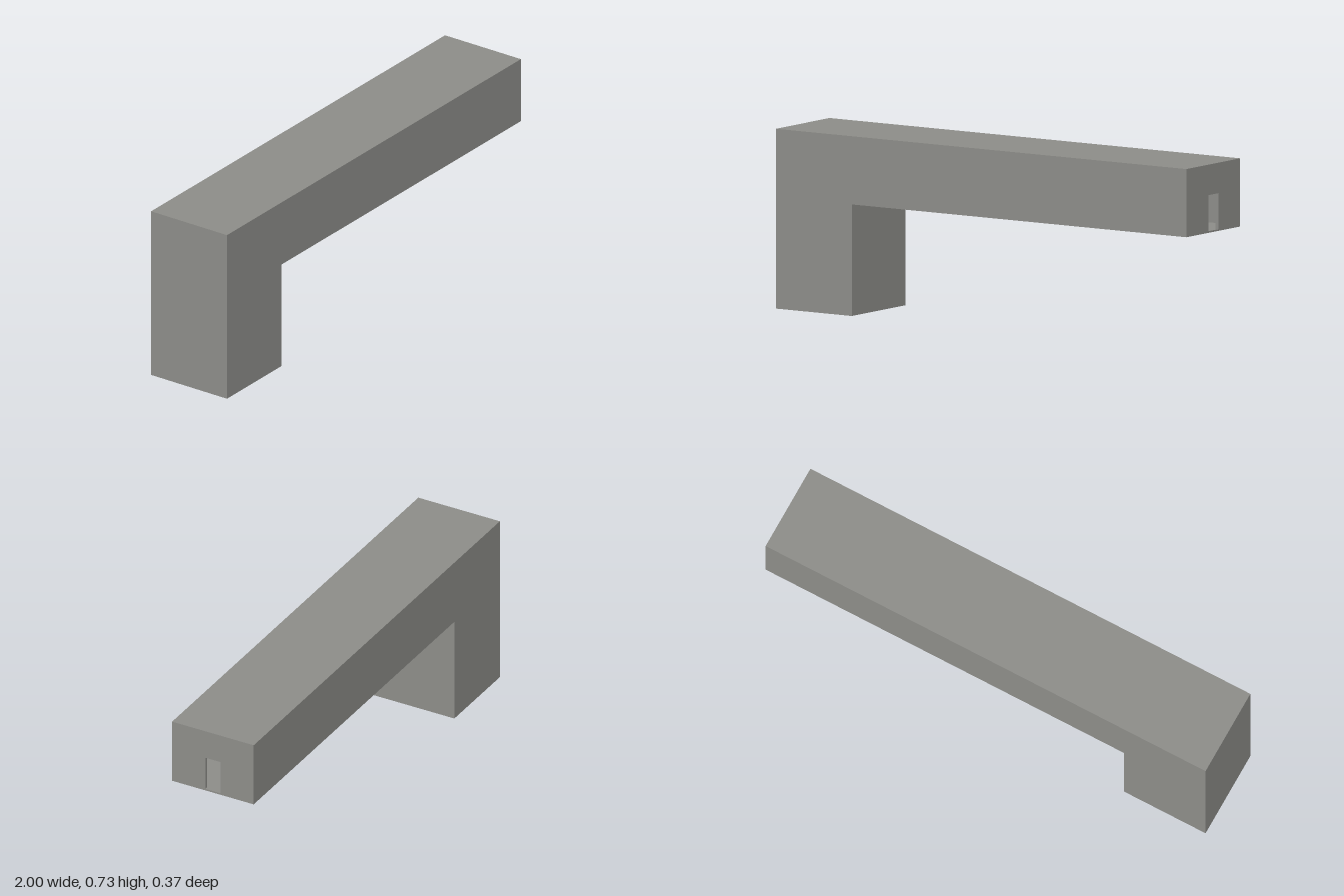
import * as THREE from 'three';

export function createModel() {
  const group = new THREE.Group();
  group.name = 'corridor';
  const concrete = new THREE.MeshStandardMaterial({ color: 0x8c8c88 });
  concrete.name = 'concrete grey';

  const top = 0.725, under = 0.45, halfDepth = 0.187, legX = -0.63;
  const wall = 0.0145, floorTop = 0.457;
  const innerHalf = halfDepth - wall;

  const outline = (pts) => new THREE.Shape(pts.map(([x, y]) => new THREE.Vector2(x, y)));
  const extrude = (shape, depth) => new THREE.ExtrudeGeometry(shape, { depth, bevelEnabled: false });
  const add = (name, geometry) => {
    const mesh = new THREE.Mesh(geometry, concrete);
    mesh.name = name;
    group.add(mesh);
    return mesh;
  };

  // L-shaped side walls
  const side = outline([[-1, 0], [legX, 0], [legX, under], [1, under], [1, top], [-1, top]]);
  add('frontWall', extrude(side, wall)).position.z = innerHalf;
  add('backWall', extrude(side, wall)).position.z = -halfDepth;

  // Ceiling running down into the outer wall of the open-bottomed shaft
  const ceiling = outline([[-1, 0], [-1 + wall, 0], [-1 + wall, top - wall],
    [1 - wall, top - wall], [1 - wall, top], [-1, top]]);
  add('ceilingAndShaftWall', extrude(ceiling, innerHalf * 2)).position.z = -innerHalf;

  // Corridor floor running down into the inner wall of the shaft
  const floor = outline([[legX - wall, 0], [legX, 0], [legX, under],
    [1 - wall, under], [1 - wall, floorTop], [legX - wall, floorTop]]);
  add('floorAndShaftWall', extrude(floor, innerHalf * 2)).position.z = -innerHalf;

  // End wall with a doorway
  const end = outline([[-innerHalf, under], [innerHalf, under], [innerHalf, top], [-innerHalf, top]]);
  const door = [[-0.035, floorTop], [-0.035, 0.602], [0.035, 0.602], [0.035, floorTop]];
  end.holes.push(new THREE.Path(door.map(([x, y]) => new THREE.Vector2(x, y))));
  add('endWall', extrude(end, wall).rotateY(Math.PI / 2)).position.x = 1 - wall;

  return group;
}
